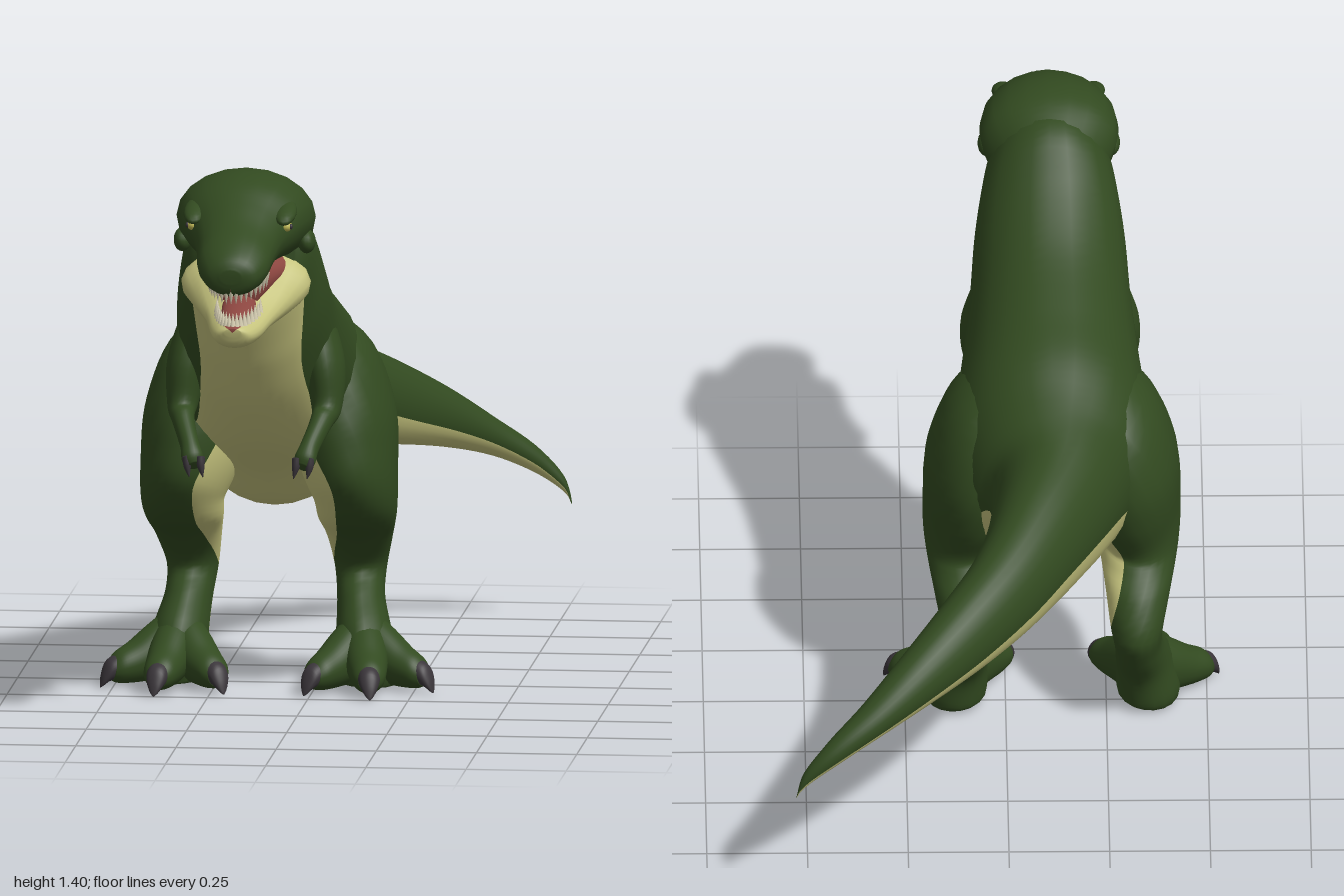
import * as THREE from 'three';

const mat = (name, color) => Object.assign(new THREE.MeshStandardMaterial({ color }), { name });
const CX = -0.115; // x of the body's plane of symmetry

// Catmull-Rom through rows of numbers, column by column
function smoothRows(rows, steps) {
  const out = [], last = rows.length - 1;
  for (let i = 0; i < last; i++) {
    const [a, b, c, d] = [i - 1, i, i + 1, i + 2].map(k => rows[Math.min(last, Math.max(0, k))]);
    for (let s = 0; s < steps; s++) {
      const t = s / steps;
      out.push(b.map((_, k) => {
        const quad = 2 * a[k] - 5 * b[k] + 4 * c[k] - d[k], cubic = 3 * (b[k] - c[k]) + d[k] - a[k];
        return b[k] + 0.5 * t * (c[k] - a[k] + t * (quad + t * cubic));
      }));
    }
  }
  out.push(rows[last]);
  return out;
}

// Closed loft. Row: [x, topZ, topY, bottomZ, bottomY, halfWidth, patch]
// patch = share of the ring's height painted in the second material, centred on angle patchAt
function loft(name, rows, mats, patchAt = -Math.PI / 2) {
  const N = 30, K = 12, pos = [], faces = [[], []];
  const R = smoothRows(rows.map(r => (r.length < 7 ? [...r, 0.5] : r)), 5);
  const mid = R.map(r => new THREE.Vector3(r[0], (r[2] + r[4]) / 2, (r[1] + r[3]) / 2));
  R.forEach((r, i) => {
    const up = new THREE.Vector3(0, (r[2] - r[4]) / 2, (r[1] - r[3]) / 2);
    const dir = mid[Math.min(i + 1, R.length - 1)].clone().sub(mid[Math.max(i - 1, 0)]);
    const side = dir.cross(up).normalize().multiplyScalar(Math.max(r[5], 0.001));
    const a = Math.max(0.01, Math.acos(1 - 2 * Math.min(1, Math.max(0, r[6]))));
    for (let j = 0; j < N; j++) {
      const th = patchAt + (j < K ? -a + 2 * a * j / K : a + (2 * Math.PI - 2 * a) * (j - K) / (N - K));
      const p = mid[i].clone().addScaledVector(side, Math.cos(th)).addScaledVector(up, Math.sin(th));
      pos.push(p.x, p.y, p.z);
    }
  });
  const end = R.length - 1, c0 = R.length * N, c1 = c0 + 1;
  pos.push(...mid[0].toArray(), ...mid[end].toArray());
  for (let j = 0; j < N; j++) {
    const f = faces[j < K ? 1 : 0], j2 = (j + 1) % N;
    f.push(c0, j, j2, c1, end * N + j2, end * N + j);
    for (let i = 0; i < end; i++) {
      const a = i * N + j, b = a + N, c = i * N + j2, d = c + N;
      f.push(a, b, c, b, d, c);
    }
  }
  const g = new THREE.BufferGeometry();
  g.setAttribute('position', new THREE.Float32BufferAttribute(pos, 3));
  g.setIndex([...faces[0], ...faces[1]]);
  g.addGroup(0, faces[0].length, 0);
  g.addGroup(faces[0].length, faces[1].length, 1);
  g.computeVertexNormals();
  const m = new THREE.Mesh(g, mats);
  m.name = name;
  return m;
}

export function createModel() {
  const root = new THREE.Group();
  root.name = 'dinosaur';
  const green = mat('greenSkin', 0x324a20), cream = mat('creamBelly', 0xc6c47e), red = mat('mouthRed', 0x8c4640);
  const dark = mat('darkClaw', 0x3a353a), ivory = mat('ivoryTooth', 0xd8d0b4), yellow = mat('yellowEye', 0xc4bc58);
  const add = (...a) => root.add(loft(...a));
  const mid = rows => rows.map(r => [CX, ...r]);

  // Neck, torso and curved tail in one skin with a pale underside
  add('bodyAndTail', [
    ...mid([
      [0.60, 1.33, 0.63, 1.05, 0.12, 0.35], [0.55, 1.37, 0.62, 1.02, 0.15, 0.32],
      [0.47, 1.345, 0.575, 0.94, 0.17, 0.2], [0.38, 1.25, 0.53, 0.865, 0.188, 0.13],
      [0.25, 1.155, 0.45, 0.76, 0.2, 0.13], [0.09, 1.08, 0.31, 0.645, 0.22, 0.15],
      [-0.04, 1.025, 0.12, 0.55, 0.24, 0.22], [-0.15, 0.955, -0.05, 0.442, 0.23, 0.32],
      [-0.27, 0.895, -0.2, 0.485, 0.16, 0.43]]),
    [-0.06, -0.42, 0.84, -0.42, 0.515, 0.118, 0.4], [0.015, -0.57, 0.775, -0.57, 0.51, 0.095, 0.36],
    [0.115, -0.7, 0.705, -0.7, 0.49, 0.08, 0.32], [0.23, -0.82, 0.62, -0.82, 0.465, 0.063, 0.3],
    [0.34, -0.91, 0.53, -0.91, 0.43, 0.046, 0.3], [0.44, -0.965, 0.45, -0.965, 0.38, 0.03, 0.3],
    [0.51, -0.985, 0.37, -0.985, 0.33, 0.014, 0.3], [0.53, -0.985, 0.302, -0.985, 0.298, 0.002, 0.3],
  ], [green, cream]);

  // Skull with red palate, lower jaw, mouth lining and tongue
  add('upperHead', mid([
    [0.995, 1.205, 0.99, 1.17, 0.025, 0], [0.98, 1.235, 0.975, 1.14, 0.062, 0],
    [0.93, 1.272, 0.93, 1.136, 0.088, 0.02], [0.86, 1.308, 0.86, 1.148, 0.098, 0.03],
    [0.80, 1.345, 0.79, 1.165, 0.115, 0.03], [0.73, 1.385, 0.72, 1.17, 0.15, 0.03],
    [0.65, 1.402, 0.65, 1.165, 0.17, 0.03], [0.57, 1.392, 0.58, 1.15, 0.168, 0.03],
    [0.49, 1.35, 0.53, 1.1, 0.13, 0.03]]), [green, red]);
  add('lowerJaw', mid([
    [0.945, 1.05, 0.94, 1.03, 0.02, 0.06], [0.925, 1.058, 0.92, 1.0, 0.046, 0.06],
    [0.86, 1.068, 0.85, 0.993, 0.065, 0.06], [0.78, 1.09, 0.76, 1.005, 0.085, 0.05],
    [0.69, 1.15, 0.67, 1.015, 0.13, 0.02], [0.61, 1.2, 0.63, 1.025, 0.162, 0.01],
    [0.54, 1.19, 0.56, 1.0, 0.14, 0.01]]), [cream, red], Math.PI / 2);
  add('mouthLining', mid([
    [0.78, 1.185, 0.76, 1.06, 0.05], [0.7, 1.195, 0.68, 1.08, 0.085], [0.6, 1.2, 0.58, 1.1, 0.13]]), [red, red]);
  add('tongue', mid([
    [0.89, 1.075, 0.89, 1.06, 0.015], [0.85, 1.088, 0.85, 1.055, 0.036], [0.74, 1.11, 0.74, 1.06, 0.045]]), [red, red]);

  // Two rows of teeth, each following a U around the jaw
  const tooth = new THREE.ConeGeometry(0.009, 0.038, 6);
  for (const [name, w, z0, len, yFront, yBack, flip] of [
    ['upperTooth', 0.075, 0.76, 0.215, 1.135, 1.16, true], ['lowerTooth', 0.056, 0.74, 0.19, 1.07, 1.09, false]]) {
    for (let i = -8; i <= 8; i++) {
      const a = i / 8 * 1.3, m = new THREE.Mesh(tooth, ivory);
      m.position.set(CX + w * Math.sin(a), yBack + (yFront - yBack) * Math.cos(a), z0 + len * Math.cos(a));
      if (flip) m.rotation.x = Math.PI;
      m.name = name;
      root.add(m);
    }
  }

  // Ellipsoid helper for eyes, brows and cheek bumps
  const ball = new THREE.SphereGeometry(1, 16, 12);
  const blob = (name, m, x, y, z, sx, sy, sz, tilt = 0) => {
    const b = new THREE.Mesh(ball, m);
    b.name = name;
    b.position.set(x, y, z);
    b.scale.set(sx, sy, sz);
    b.rotation.x = tilt;
    root.add(b);
  };

  for (const s of [-1, 1]) {
    const label = s > 0 ? 'left' : 'right';
    const sided = rows => rows.map(([dx, ...r]) => [CX + s * dx, ...r]);

    blob(label + 'Eye', yellow, CX + s * 0.116, 1.283, 0.775, 0.016, 0.014, 0.018);
    blob(label + 'Pupil', dark, CX + s * 0.129, 1.283, 0.782, 0.005, 0.007, 0.006);
    blob(label + 'Brow', green, CX + s * 0.113, 1.314, 0.755, 0.028, 0.018, 0.065, 0.3);
    blob(label + 'CheekBump', green, CX + s * 0.155, 1.225, 0.65, 0.022, 0.03, 0.04);

    // Leg from hip to sole, pale on the inner thigh
    add(label + 'Leg', sided([
      [0.09, -0.1, 0.88, 0.1, 0.92, 0.07, 0], [0.15, -0.165, 0.79, 0.195, 0.845, 0.113, 0],
      [0.182, -0.18, 0.67, 0.24, 0.735, 0.128, 0.08],
      [0.195, -0.15, 0.56, 0.258, 0.64, 0.126, 0.22], [0.215, -0.1, 0.465, 0.25, 0.535, 0.106, 0.3],
      [0.215, -0.115, 0.425, 0.17, 0.435, 0.097, 0.3], [0.213, -0.165, 0.37, 0.05, 0.37, 0.082, 0.2],
      [0.21, -0.205, 0.275, -0.03, 0.29, 0.065, 0], [0.215, -0.165, 0.19, 0.02, 0.23, 0.06, 0],
      [0.228, -0.105, 0.11, 0.09, 0.155, 0.07, 0], [0.24, -0.085, 0.03, 0.12, 0.06, 0.08, 0],
      [0.24, -0.07, 0.012, 0.11, 0.012, 0.07, 0]]), [green, cream], s < 0 ? 0 : Math.PI);

    // Toes and their claws fan out from the foot
    for (const [tx, tz] of [[0.415, 0.125], [0.27, 0.25], [0.1, 0.2]]) {
      const along = rows => sided(rows.map(([t, yt, yb, hw]) => {
        const z = tz * t;
        return [0.23 + (tx - 0.23) * t, z, yt, z, yb, hw];
      }));
      add(label + 'Toe', along([[0, 0.205, 0.012, 0.06], [0.35, 0.155, 0.012, 0.055], [0.6, 0.115, 0.01, 0.048],
        [0.78, 0.092, 0.012, 0.04], [0.87, 0.07, 0.02, 0.026]]), [green, green]);
      add(label + 'ToeClaw', along([[0.76, 0.088, 0.025, 0.031], [0.9, 0.072, 0.018, 0.025],
        [0.97, 0.04, 0.008, 0.014], [1, 0.01, 0.004, 0.003]]), [dark, dark]);
    }

    // Small arm with two clawed fingers
    add(label + 'Arm', sided([
      [0.14, 0.27, 0.96, 0.41, 1.02, 0.045], [0.17, 0.30, 0.85, 0.455, 0.89, 0.052],
      [0.18, 0.37, 0.75, 0.46, 0.79, 0.038], [0.172, 0.45, 0.715, 0.49, 0.765, 0.028],
      [0.15, 0.515, 0.665, 0.545, 0.71, 0.024], [0.14, 0.54, 0.64, 0.572, 0.675, 0.027],
      [0.135, 0.55, 0.63, 0.575, 0.65, 0.016]]), [green, green]);
    for (const o of [-0.017, 0.017]) {
      add(label + 'FingerClaw', sided([
        [0.137 + o, 0.548, 0.655, 0.574, 0.667, 0.011], [0.135 + o, 0.556, 0.633, 0.576, 0.643, 0.009],
        [0.13 + o, 0.568, 0.612, 0.571, 0.614, 0.001]]), [dark, dark]);
    }
  }
  return root;
}
